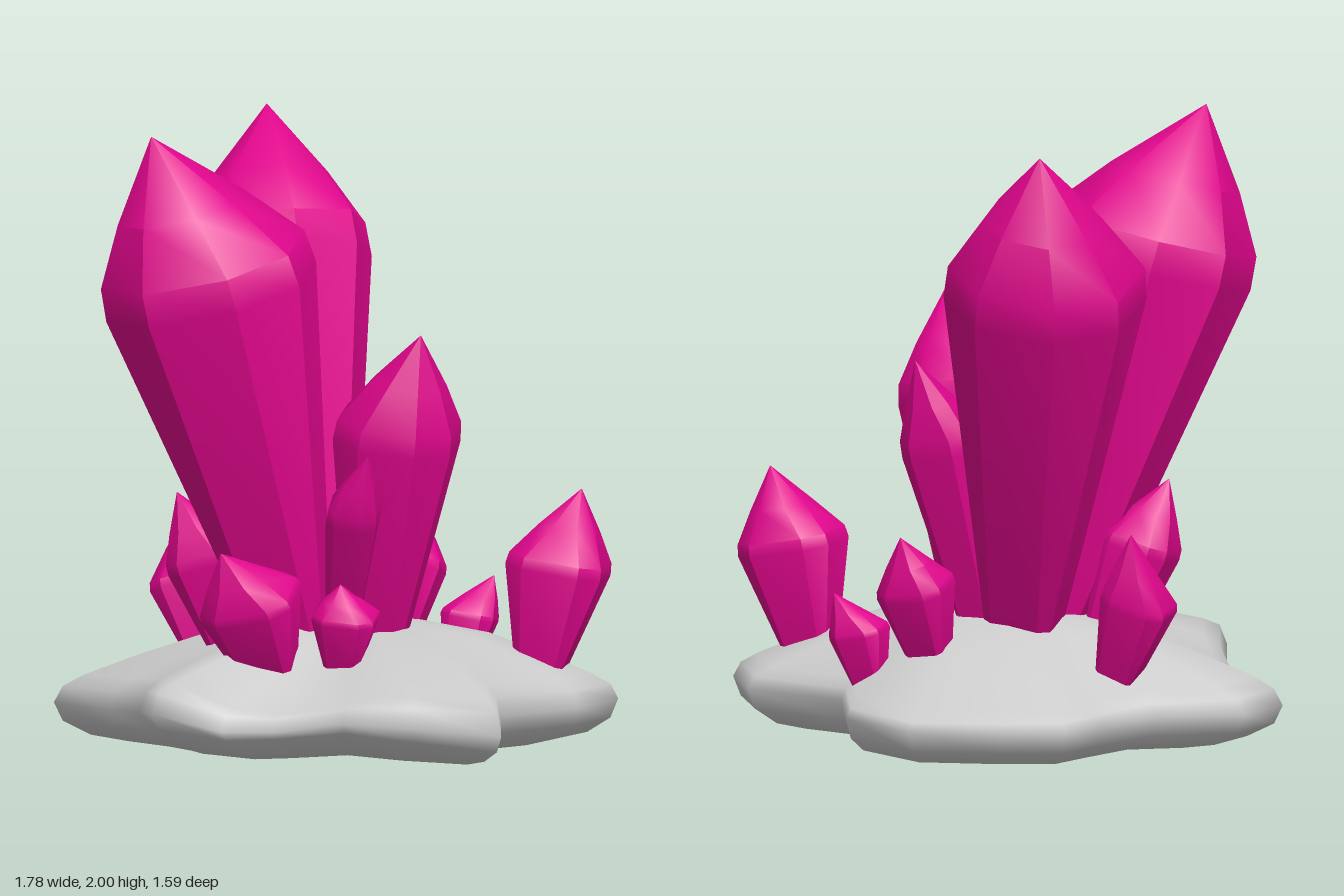
import * as THREE from 'three';
import { toCreasedNormals } from 'three/addons/utils/BufferGeometryUtils.js';

// Joins closed rows of points, running from the upper middle outward and down
function loft(rows) {
  const n = rows[0].length, flat = rows.flat(), index = [];
  const tri = (a, b, c) => {
    if (flat[a].equals(flat[b]) || flat[b].equals(flat[c]) || flat[a].equals(flat[c])) return;
    index.push(a, b, c);
  };
  for (let i = 0; i < rows.length - 1; i++) {
    for (let j = 0; j < n; j++) {
      const k = (j + 1) % n;
      const a = i * n + j, b = i * n + k, c = b + n, d = a + n;
      tri(a, b, d);
      tri(b, c, d);
    }
  }
  const geo = new THREE.BufferGeometry().setFromPoints(flat);
  geo.setIndex(index);
  geo.computeVertexNormals();
  return geo;
}

// Crystal growing from an open square root to a chamfered shoulder and a pointed cap
function crystalGeometry(root, shoulder, tip, r0, r1, cut = 0.25) {
  const base = new THREE.Vector3(...root), mid = new THREE.Vector3(...shoulder), top = new THREE.Vector3(...tip);
  const axis = mid.clone().sub(base).normalize();
  const u = new THREE.Vector3(1, 0, 0).addScaledVector(axis, -axis.x).normalize();
  const w = new THREE.Vector3().crossVectors(u, axis);
  // Square of half width r with its corners cut by the given angle
  const ring = (centre, r, angle) => Array.from({ length: 8 }, (_, j) => {
    const a = Math.PI / 4 + Math.floor(j / 2) * Math.PI / 2 + (j % 2 ? angle : -angle);
    const reach = r / Math.cos(Math.PI / 4 - angle);
    return centre.clone()
      .addScaledVector(u, Math.sin(a) * reach)
      .addScaledVector(w, -Math.cos(a) * reach);
  });
  return toCreasedNormals(loft([
    Array.from({ length: 8 }, () => top.clone()),
    ring(mid.clone().lerp(top, 0.45), r1 * 0.6, 0.36),
    ring(mid.clone().lerp(top, 0.04), r1 * 0.97, cut),
    ring(base.clone().lerp(mid, 0.93), r1, cut),
    ring(base, r0, cut * 0.4),
  ]), 0.68);
}

// Star-like outline of the rock going back, right, front, left: x, z, rim lift, dip of the slope
const OUTLINE = [
  [-0.26, -0.76, 0, 0], [0.04, -0.8, -0.01, 0], [0.29, -0.7, 0, 0], [0.42, -0.4, 0, 0], [0.76, -0.33, 0, 0],
  [0.89, -0.12, 0, 0], [0.81, 0.13, 0, 0], [0.6, 0.36, 0, 0], [0.67, 0.72, -0.02, 0], [0.41, 0.79, 0.02, 0.03],
  [0.16, 0.71, 0.04, 0.08], [-0.07, 0.73, 0.02, 0.1], [-0.22, 0.78, 0.02, 0.08], [-0.44, 0.79, 0.06, 0.02],
  [-0.53, 0.55, 0.03, 0], [-0.68, 0.27, 0, 0], [-0.89, 0.09, 0, 0], [-0.84, -0.12, 0, 0], [-0.6, -0.28, 0, 0],
  [-0.5, -0.52, 0, 0], [-0.44, -0.68, 0, 0],
];

// Rock shell from the crown over the rim to its tucked-under edge: scale, height, tilt, share of dip
const SECTION = [
  [0, 0.42, 0, 0], [0.25, 0.41, 0.02, 0.2], [0.5, 0.37, 0.04, 0.6], [0.72, 0.3, 0.06, 1], [0.9, 0.235, 0.06, 0.9],
  [0.97, 0.2, 0.05, 0.6], [1, 0.15, 0.02, 0.3], [0.97, 0.09, 0.03, 0], [0.88, 0.045, 0.03, 0], [0.76, 0.025, 0.02, 0],
  [0.68, 0.04, 0.02, 0],
];

function rockGeometry() {
  return loft(SECTION.map(([s, y, tilt, share]) => OUTLINE.map(([x, z, lift, dip]) => new THREE.Vector3(
    x * s + 0.08 * (1 - s),
    y + z * tilt + x * s * 0.02 + lift * s ** 3 - dip * share,
    z * s,
  ))));
}

// name, root, shoulder centre, tip, root half width, shoulder half width, corner cut
const CRYSTALS = [
  ['tallFrontCrystal', [-0.1, 0.34, 0.11], [-0.365, 1.58, 0.295], [-0.52, 2.0, 0.39], 0.1, 0.32, 0.36],
  ['tallBackCrystal', [-0.07, 0.34, -0.06], [-0.295, 1.57, -0.455], [-0.34, 1.96, -0.64], 0.1, 0.295, 0.36],
  ['middleCrystal', [0.16, 0.34, 0.15], [0.25, 1.08, 0.25], [0.34, 1.38, 0.34], 0.08, 0.19, 0.34],
  ['slimBackCrystal', [0.06, 0.34, -0.08], [0.15, 0.99, -0.21], [0.2, 1.24, -0.32], 0.05, 0.12],
  ['slimFrontCrystal', [0.06, 0.33, 0.25], [0.15, 0.84, 0.475], [0.21, 1.02, 0.56], 0.04, 0.08],
  ['sideCrystal', [0.64, 0.21, -0.06], [0.71, 0.61, -0.07], [0.78, 0.84, -0.08], 0.06, 0.155],
  ['frontCrystal', [-0.13, 0.27, 0.37], [-0.19, 0.54, 0.46], [-0.26, 0.7, 0.58], 0.07, 0.15],
  ['smallFrontCrystal', [0.09, 0.29, 0.36], [0.11, 0.49, 0.4], [0.1, 0.59, 0.44], 0.045, 0.1],
  ['leftBackCrystal', [-0.44, 0.25, -0.2], [-0.53, 0.5, -0.24], [-0.53, 0.72, -0.32], 0.06, 0.11],
  ['leftFrontCrystal', [-0.28, 0.27, 0.1], [-0.4, 0.63, 0.13], [-0.48, 0.83, 0.16], 0.06, 0.115],
  ['backCrystal', [0.13, 0.29, -0.36], [0.16, 0.54, -0.43], [0.18, 0.7, -0.51], 0.055, 0.11],
  ['smallBackCrystal', [0.33, 0.21, -0.38], [0.36, 0.38, -0.4], [0.43, 0.5, -0.44], 0.045, 0.085],
];

export function createModel() {
  const model = new THREE.Group();
  model.name = 'crystalCluster';

  // Hollow rock the crystals grow through
  const rock = new THREE.Mesh(rockGeometry(), new THREE.MeshStandardMaterial({ color: 0xcccccc, side: THREE.DoubleSide }));
  rock.name = 'rockBase';
  model.add(rock);

  // Crystals
  const pink = new THREE.MeshStandardMaterial({ color: 0xe0058c, side: THREE.DoubleSide });
  for (const [name, ...shape] of CRYSTALS) {
    const crystal = new THREE.Mesh(crystalGeometry(...shape), pink);
    crystal.name = name;
    model.add(crystal);
  }
  return model;
}
